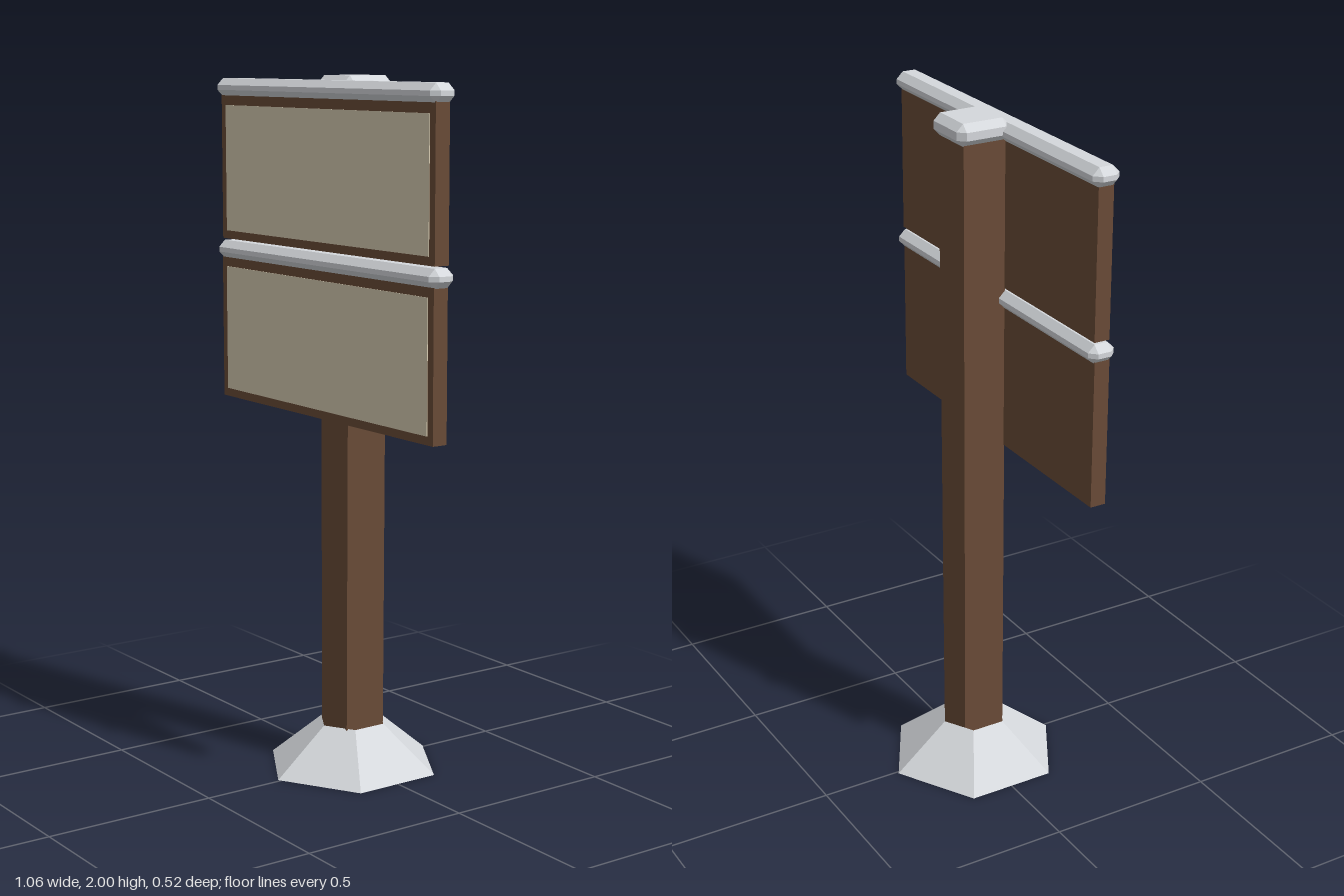
import * as THREE from 'three';
import { ConvexGeometry } from 'three/addons/geometries/ConvexGeometry.js';

const material = (name, color, extra = {}) => {
  const m = new THREE.MeshStandardMaterial({ color, ...extra });
  m.name = name;
  return m;
};

// Box with a single flat bevel on every edge
function bevelledBox(w, h, d, bevel) {
  const half = [w / 2, h / 2, d / 2];
  const points = [];
  for (const sx of [-1, 1]) for (const sy of [-1, 1]) for (const sz of [-1, 1]) {
    for (let axis = 0; axis < 3; axis++) {
      const p = half.map((v, i) => (i === axis ? v : v - bevel));
      points.push(new THREE.Vector3(p[0] * sx, p[1] * sy, p[2] * sz));
    }
  }
  return new ConvexGeometry(points);
}

export function createModel() {
  const wood = material('brown wood', 0x694b37);
  const paper = material('cream panel', 0xd8ccb2);
  const metal = material('pale grey metal', 0xd5d8dc, { flatShading: true, side: THREE.DoubleSide });

  const model = new THREE.Group();
  model.name = 'signpost';
  const add = (parent, name, geometry, mat, x, y, z) => {
    const mesh = new THREE.Mesh(geometry, mat);
    mesh.name = name;
    mesh.position.set(x, y, z);
    parent.add(mesh);
    return mesh;
  };

  // Open six-sided foot
  add(model, 'foot', new THREE.CylinderGeometry(0.1, 0.261, 0.133, 6, 1, true), metal, -0.008, 0.0665, 0);

  // Square post, leaning and widening very slightly towards the top
  const postHeight = 1.945;
  const postGeometry = new THREE.BoxGeometry(0.13, postHeight, 0.13);
  const pos = postGeometry.attributes.position;
  for (let i = 0; i < pos.count; i++) {
    const side = Math.sign(pos.getY(i));
    pos.setX(i, pos.getX(i) * (1 + 0.04 * side) + 0.004 * side);
  }
  postGeometry.computeVertexNormals();
  add(model, 'post', postGeometry, wood, 0, postHeight / 2, 0.002);

  // Bevelled cap on the post
  add(model, 'postCap', bevelledBox(0.163, 0.063, 0.16, 0.02), metal, 0.001, 1.9685, -0.003);

  // Two framed boards, each under a bevelled rail
  const boards = [
    { name: 'upperBoard', x: 0.001, bottom: 1.517, rail: 1.96 },
    { name: 'lowerBoard', x: -0.002, bottom: 1.042, rail: 1.484 },
  ];
  for (const { name, x, bottom, rail } of boards) {
    const group = new THREE.Group();
    group.name = name;
    const height = rail - bottom;
    add(group, 'boardBacking', new THREE.BoxGeometry(1.031, height, 0.046), wood, x, bottom + height / 2, 0.088);
    add(group, 'boardPanel', new THREE.BoxGeometry(0.983, 0.368, 0.004), paper, x, bottom + 0.208, 0.111);
    add(group, 'boardRail', bevelledBox(1.064, 0.054, 0.08, 0.02), metal, 0, rail, 0.087);
    model.add(group);
  }
  return model;
}
